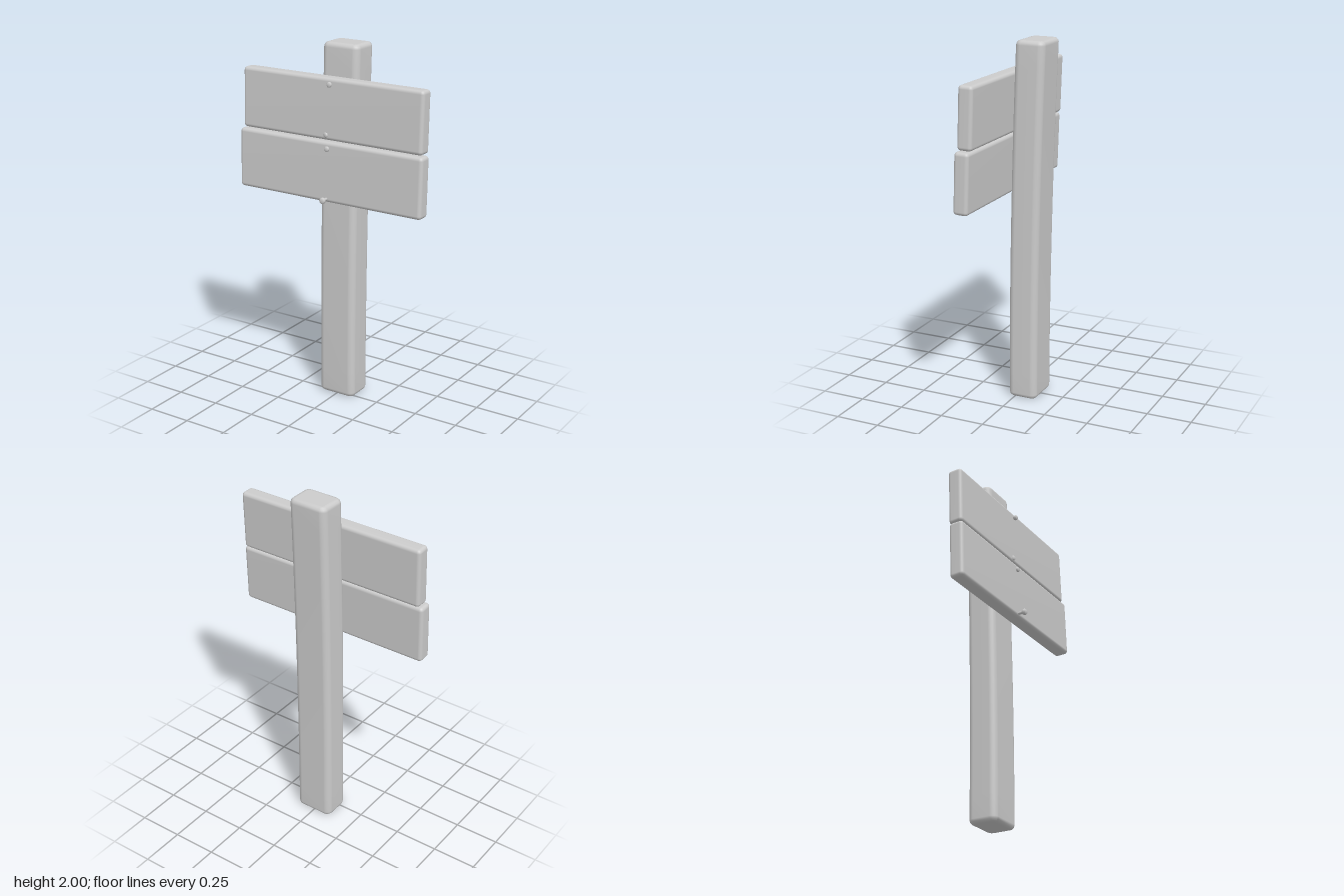
import * as THREE from 'three';
import { RoundedBoxGeometry } from 'three/addons/geometries/RoundedBoxGeometry.js';
import { mergeVertices } from 'three/addons/utils/BufferGeometryUtils.js';

const material = new THREE.MeshStandardMaterial({ color: 0xcccccc });

// Weld all corners so the shading runs softly over the edges
function soften(geometry) {
  geometry.deleteAttribute('normal');
  geometry.deleteAttribute('uv');
  const welded = mergeVertices(geometry, 1e-4);
  welded.computeVertexNormals();
  return welded;
}

// Rectangle with rounded corners, centred on the origin
function roundedRect(w, h, r) {
  const s = new THREE.Shape();
  const x = w / 2 - r, y = h / 2 - r;
  s.absarc(x, y, r, 0, Math.PI / 2);
  s.absarc(-x, y, r, Math.PI / 2, Math.PI);
  s.absarc(-x, -y, r, Math.PI, Math.PI * 1.5);
  s.absarc(x, -y, r, Math.PI * 1.5, Math.PI * 2);
  return s;
}

// Upright post, leaning back progressively toward its top
function createPost() {
  const bevel = 0.025, height = 2;
  const geo = new THREE.ExtrudeGeometry(roundedRect(0.224 - 2 * bevel, 0.168 - 2 * bevel, 0.012), {
    depth: height - 2 * bevel, steps: 16, curveSegments: 3,
    bevelEnabled: true, bevelSize: bevel, bevelThickness: bevel, bevelSegments: 3,
  });
  geo.translate(0, 0, bevel).rotateX(-Math.PI / 2);
  const p = geo.attributes.position;
  for (let i = 0; i < p.count; i++) {
    const t = p.getY(i) / height;
    p.setZ(i, p.getZ(i) - 0.045 - 0.043 * t * t);
  }
  const post = new THREE.Mesh(soften(geo), material);
  post.name = 'post';
  return post;
}

// Horizontal sign board, tilted to follow the post
function createBoard(name, x, y, z, width, height, tilt) {
  const geo = new RoundedBoxGeometry(width, height, 0.083, 3, 0.02);
  const board = new THREE.Mesh(soften(geo), material);
  board.name = name;
  board.position.set(x, y, z);
  board.rotation.x = tilt;
  return board;
}

// Nail with a thin shank and a domed head; its tip lies at the given z
const nailProfile = [
  [0, -0.1], [0.008, -0.09], [0.008, -0.028], [0.014, -0.021],
  [0.017, -0.016], [0.017, -0.006], [0.012, 0], [0, 0],
].map(([r, h]) => new THREE.Vector2(r, h));

function createNail(name, x, y, z, scale, yaw) {
  const geo = new THREE.LatheGeometry(nailProfile, 12).rotateX(Math.PI / 2);
  const nail = new THREE.Mesh(geo, material);
  nail.name = name;
  nail.position.set(x, y, z);
  nail.rotation.y = yaw;
  nail.scale.setScalar(scale);
  return nail;
}

export function createModel() {
  const model = new THREE.Group();
  model.name = 'signpost';
  model.add(
    createPost(),
    createBoard('upperBoard', 0, 1.667, 0.055, 1.12, 0.333, -0.035),
    createBoard('lowerBoard', -0.002, 1.33, 0.077, 1.146, 0.33, -0.033),
    createNail('upperBoardTopNail', 0.005, 1.803, 0.112, 0.85, 0),
    createNail('upperBoardBottomNail', -0.022, 1.53, 0.108, 0.85, -0.3),
    createNail('lowerBoardTopNail', -0.002, 1.46, 0.127, 0.85, 0),
    createNail('lowerBoardBottomNail', -0.002, 1.186, 0.171, 1, 0),
  );
  return model;
}
